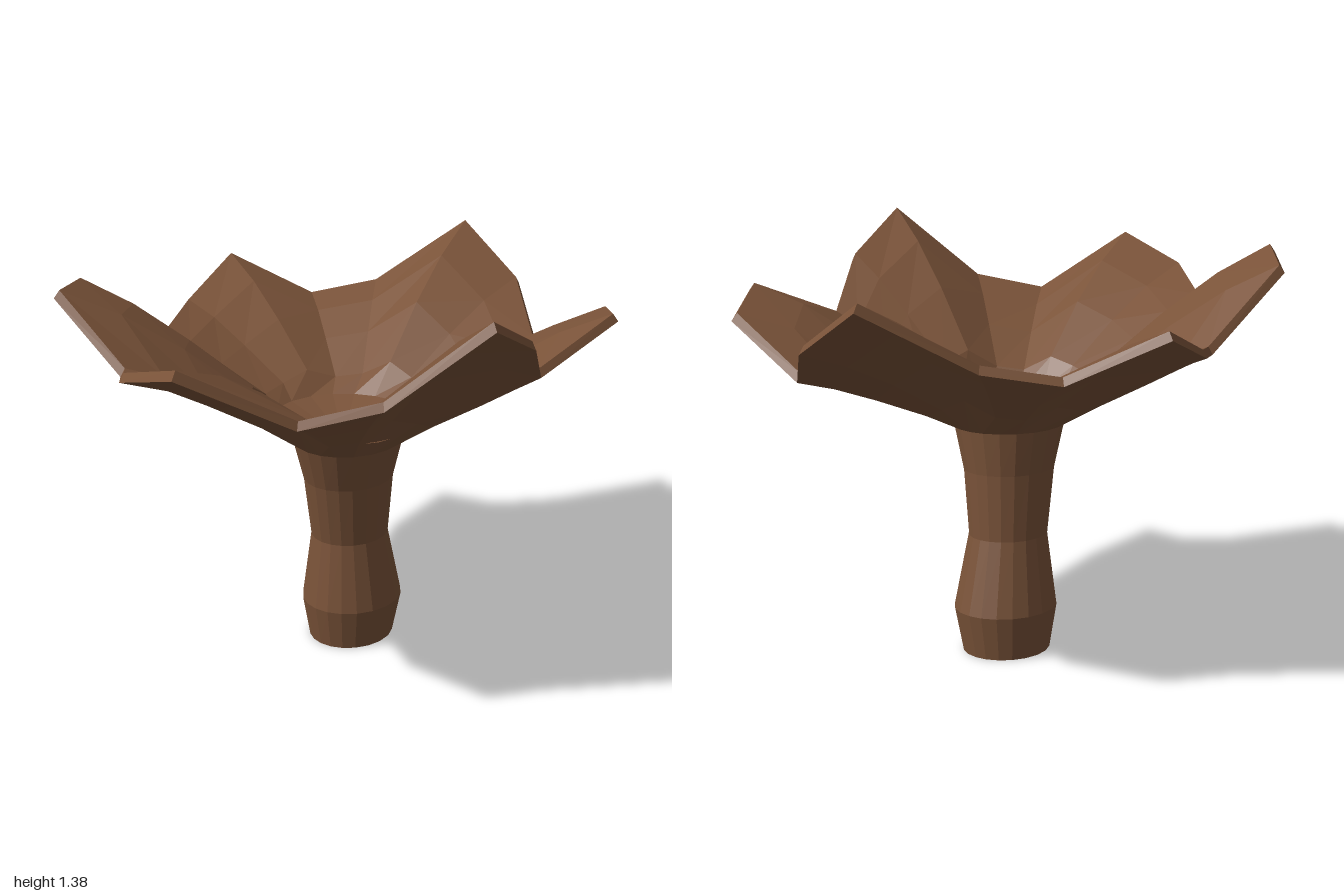
import * as THREE from 'three';

// Rim points of the five-petalled bowl: x, y, z (four per petal)
const RIM = [
  [1.00, 1.25, -0.20], [0.92, 1.10, 0.08], [0.72, 0.97, 0.28], [0.70, 1.13, 0.57],
  [0.46, 1.19, 0.73], [0.15, 1.07, 0.645], [-0.08, 1.24, 0.76], [-0.38, 1.38, 0.815],
  [-0.54, 1.14, 0.56], [-0.70, 1.09, 0.38], [-1.00, 1.28, 0.20], [-0.91, 1.19, -0.09],
  [-0.71, 1.11, -0.29], [-0.70, 1.30, -0.57], [-0.46, 1.26, -0.73], [-0.15, 1.03, -0.65],
  [0.08, 1.06, -0.76], [0.38, 1.155, -0.82], [0.53, 1.02, -0.56], [0.70, 1.06, -0.39],
];
const ANGLES = RIM.map(([x, , z]) => Math.atan2(z, x));

// Stem rings: y, xMin, xMax, zMin, zMax
const STEM = [
  [0, -0.07, 0.235, -0.168, 0.107],
  [0.145, -0.10, 0.26, -0.188, 0.137],
  [0.385, -0.075, 0.20, -0.147, 0.102],
  [0.60, -0.12, 0.20, -0.152, 0.132],
  [0.74, -0.17, 0.213, -0.17, 0.175],
];

// Skin a list of closed rings that all have the same number of points
function loft(rings) {
  const pos = [];
  for (let k = 0; k < rings.length - 1; k++) {
    const a = rings[k], b = rings[k + 1], n = a.length;
    for (let i = 0; i < n; i++) {
      const j = (i + 1) % n;
      pos.push(...a[i], ...b[i], ...a[j], ...a[j], ...b[i], ...b[j]);
    }
  }
  const g = new THREE.BufferGeometry();
  g.setAttribute('position', new THREE.Float32BufferAttribute(pos, 3));
  g.computeVertexNormals();
  return g;
}

const pointRing = (x, y, z) => ANGLES.map(() => [x, y, z]);

const ovalRing = ([y, x0, x1, z0, z1]) => ANGLES.map((a) => [
  (x0 + x1) / 2 + Math.cos(a) * (x1 - x0) / 2, y,
  (z0 + z1) / 2 + Math.sin(a) * (z1 - z0) / 2,
]);

const BASE = ovalRing(STEM[STEM.length - 1]);

// Ring of the bowl wall at t (0 = stem top, 1 = rim), pulled in and raised for the inner skin
function bowlRing(t, inset, lift) {
  return RIM.map(([rx, ry, rz], i) => {
    const R = Math.hypot(rx, rz);
    const reach = THREE.MathUtils.lerp(0.84, R, t); // petals only scallop near the rim
    const k = (reach / R) * (1 - inset);
    const [bx, , bz] = BASE[i];
    const y = 0.74 + 0.30 * t ** 0.75 + (ry - 1.04) * t ** 0.85 + lift;
    return [bx + (rx * k - bx) * t, y, bz + (rz * k - bz) * t];
  });
}

export function createModel() {
  const group = new THREE.Group();
  const brown = new THREE.MeshStandardMaterial({ color: 0x7a5339, flatShading: true });
  brown.name = 'brown';

  const add = (name, rings) => {
    const mesh = new THREE.Mesh(loft(rings), brown);
    mesh.name = name;
    group.add(mesh);
  };

  // Stem with closed foot
  add('stem', [pointRing(0.08, 0, -0.03), ...STEM.map(ovalRing)]);

  // Bowl: outer skin up to the rim, over it and down into a shallow funnel
  add('petalBowl', [
    BASE,
    ...[0.2, 0.5, 0.76].map((t) => bowlRing(t, 0, -0.015)),
    bowlRing(1, 0, -0.025),
    bowlRing(1, 0.02, 0),
    ...[0.76, 0.5, 0.2].map((t) => bowlRing(t, 0.02, 0.02)),
    ovalRing([0.81, -0.24, 0.24, -0.24, 0.24]),
    ovalRing([0.77, -0.10, 0.10, -0.10, 0.10]),
    pointRing(0, 0.76, 0),
  ]);

  return group;
}
